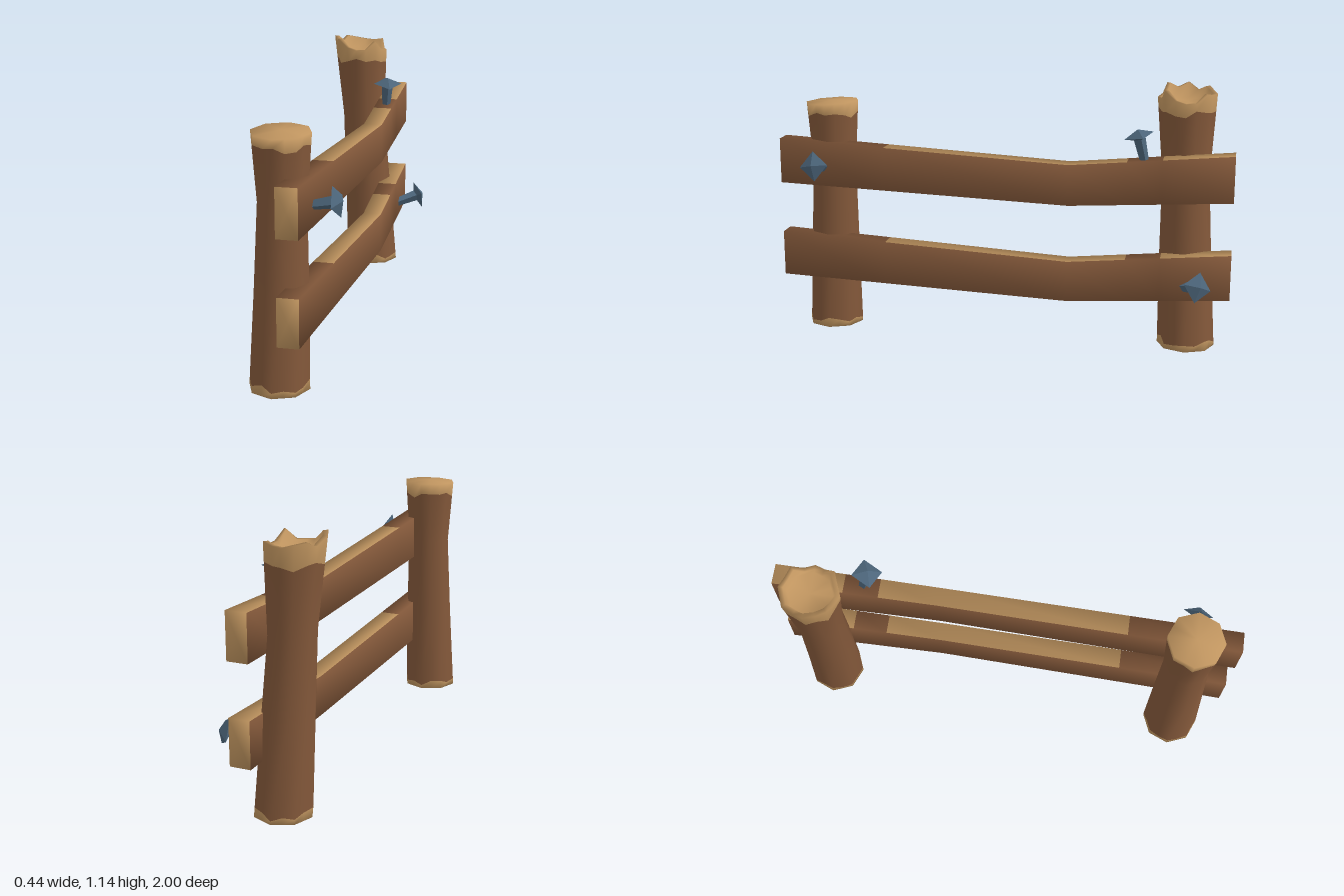
import * as THREE from 'three';

const material = (name, color) => {
  const m = new THREE.MeshStandardMaterial({ color });
  m.name = name;
  return m;
};

// Linear interpolation in a table of rows sorted by their first number
function sample(keys, t) {
  let i = 0;
  while (i < keys.length - 2 && t > keys[i + 1][0]) i++;
  const a = keys[i], b = keys[i + 1], f = (t - a[0]) / (b[0] - a[0]);
  return a.map((v, k) => v + (b[k] - v) * f);
}

// Closed smooth skin over rings; slot(i, j) picks the material, i = -1 is the start cap
function loft(rings, slot, slots, capRise = 0) {
  const n = rings[0].length, last = rings.length - 1, pos = rings.flat(2);
  const lists = Array.from({ length: slots }, () => []);
  const centre = (ring) => [0, 1, 2].map((k) => ring.reduce((s, p) => s + p[k], 0) / n);
  const end = centre(rings[last]);
  end[1] += capRise;
  pos.push(...centre(rings[0]), ...end);
  const c0 = rings.length * n, c1 = c0 + 1;
  for (let j = 0; j < n; j++) {
    const k = (j + 1) % n;
    lists[slot(-1, j)].push(c0, k, j);
    for (let i = 0; i < last; i++) {
      const a = i * n + j, b = i * n + k;
      lists[slot(i, j)].push(a, b, b + n, a, b + n, a + n);
    }
    lists[slot(last, j)].push(c1, last * n + j, last * n + k);
  }
  const g = new THREE.BufferGeometry();
  g.setAttribute('position', new THREE.Float32BufferAttribute(pos, 3));
  g.setIndex(lists.flat());
  let start = 0;
  lists.forEach((l, m) => {
    g.addGroup(start, l.length, m);
    start += l.length;
  });
  g.computeVertexNormals();
  return g;
}

export function createModel() {
  const model = new THREE.Group();
  const bark = material('bark brown', 0x83583a);
  const cut = material('cut wood tan', 0xbf945f);
  const steel = material('steel blue', 0x4c657a);
  const add = (name, geometry, mat) => {
    const mesh = new THREE.Mesh(geometry, mat);
    mesh.name = name;
    model.add(mesh);
    return mesh;
  };

  // Posts: eight sides, each split in two so the pale bands get ragged edges
  const N = 16;
  const jag = (j, s) => Math.sin(j * 2.4 + s) * 0.5 + Math.sin(j * 5.1 + s * 2) * 0.5;
  function post(name, keys, topY, bandY, broken, seed) {
    const ring = (yAt, scale = 1) => Array.from({ length: N }, (_, j) => {
      const y = yAt(j), [, cx, cz, r] = sample(keys, y);
      const a = (j / N) * Math.PI * 2;
      const R = r * scale * (j % 2 ? Math.cos(Math.PI / 8) : 1);
      return [cx + Math.cos(a) * R, y, cz - Math.sin(a) * R];
    });
    const rings = [
      ring(() => 0, 0.82),
      ring(() => 0),
      ring((j) => 0.028 + 0.018 * jag(j, seed)),
      ring(() => 0.4),
      ring(() => 0.75),
      ring((j) => bandY + 0.018 * jag(j, seed + 3)),
      ring(topY),
    ];
    // Broken post: thick splintered rim around a sunken middle
    if (broken) rings.push(ring(topY, 0.84), ring(() => 1.075, 0.76));
    const slot = (i) => (i === -1 || (i > 1 && i < 5) ? 0 : 1);
    add(name, loft(rings, slot, 2, broken ? 0 : 0.006), [bark, cut]);
  }
  // Rows: height, centre x, centre z, radius
  post('frontPost', [[0, -0.08, 0.805, 0.125], [0.4, -0.07, 0.795, 0.112],
    [0.75, -0.065, 0.787, 0.1], [1.04, -0.065, 0.79, 0.121]],
  (j) => 1.034 + 0.006 * Math.sin((j / N) * Math.PI * 2), 0.985, false, 1);
  const splinters = [1.08, 1.08, 1.12, 1.11, 1.11, 1.12, 1.13, 1.11,
    1.14, 1.12, 1.14, 1.1, 1.09, 1.09, 1.13, 1.09];
  post('backPost', [[0, -0.045, -0.815, 0.125], [0.4, -0.065, -0.8, 0.113],
    [0.75, -0.085, -0.79, 0.102], [1.1, -0.1, -0.785, 0.127]],
  (j) => splinters[j], 1.035, true, 2);

  // Rails: bent planks with pale ends and worn top faces
  // Rows: z, inner x, outer x, bottom, top
  const railKeys = [[-1, 0, 0.09, 0.25, 0.45], [-0.3, 0.02, 0.103, 0.212, 0.39],
    [1, -0.033, 0.055, 0.25, 0.45]];
  const stations = [-1, -0.7, -0.55, -0.3, 0.52, 1];
  const worn = [true, false, true, true, false];
  function rail(name, lift) {
    const rings = stations.map((z) => {
      const [, x0, x1, y0, y1] = sample(railKeys, z);
      return [[x1, y0], [x1, y1], [x0, y1], [x0, y0]].map(([x, y]) => [x, y + lift, z]);
    });
    const slot = (i, j) => (i === -1 || i === 5 || (j === 1 && worn[i]) ? 1 : 0);
    add(name, loft(rings, slot, 2), [bark, cut]);
  }
  rail('lowerRail', 0);
  rail('upperRail', 0.428);

  // Nails: square tapered shank with a pyramid head
  function nail(name, from, to, spin) {
    const a = new THREE.Vector3(...from), b = new THREE.Vector3(...to);
    const dir = b.clone().sub(a), L = dir.length();
    const profile = [[0, 0], [0.018, 0], [0.026, L - 0.03], [0.066, L - 0.016], [0, L + 0.012]]
      .map(([r, y]) => new THREE.Vector2(r, y));
    const flat = new THREE.LatheGeometry(profile, 4).toNonIndexed();
    flat.computeVertexNormals();
    flat.rotateY(spin);
    const mesh = add(name, flat, steel);
    mesh.position.copy(a);
    mesh.quaternion.setFromUnitVectors(new THREE.Vector3(0, 1, 0), dir.normalize());
  }
  nail('frontNail', [0.03, 0.75, 0.795], [0.17, 0.783, 0.815], 0);
  nail('topNail', [0.058, 0.82, -0.625], [0.072, 0.965, -0.592], 0.35);
  nail('backNail', [0.05, 0.29, -0.78], [0.192, 0.333, -0.873], 0.25);

  return model;
}
